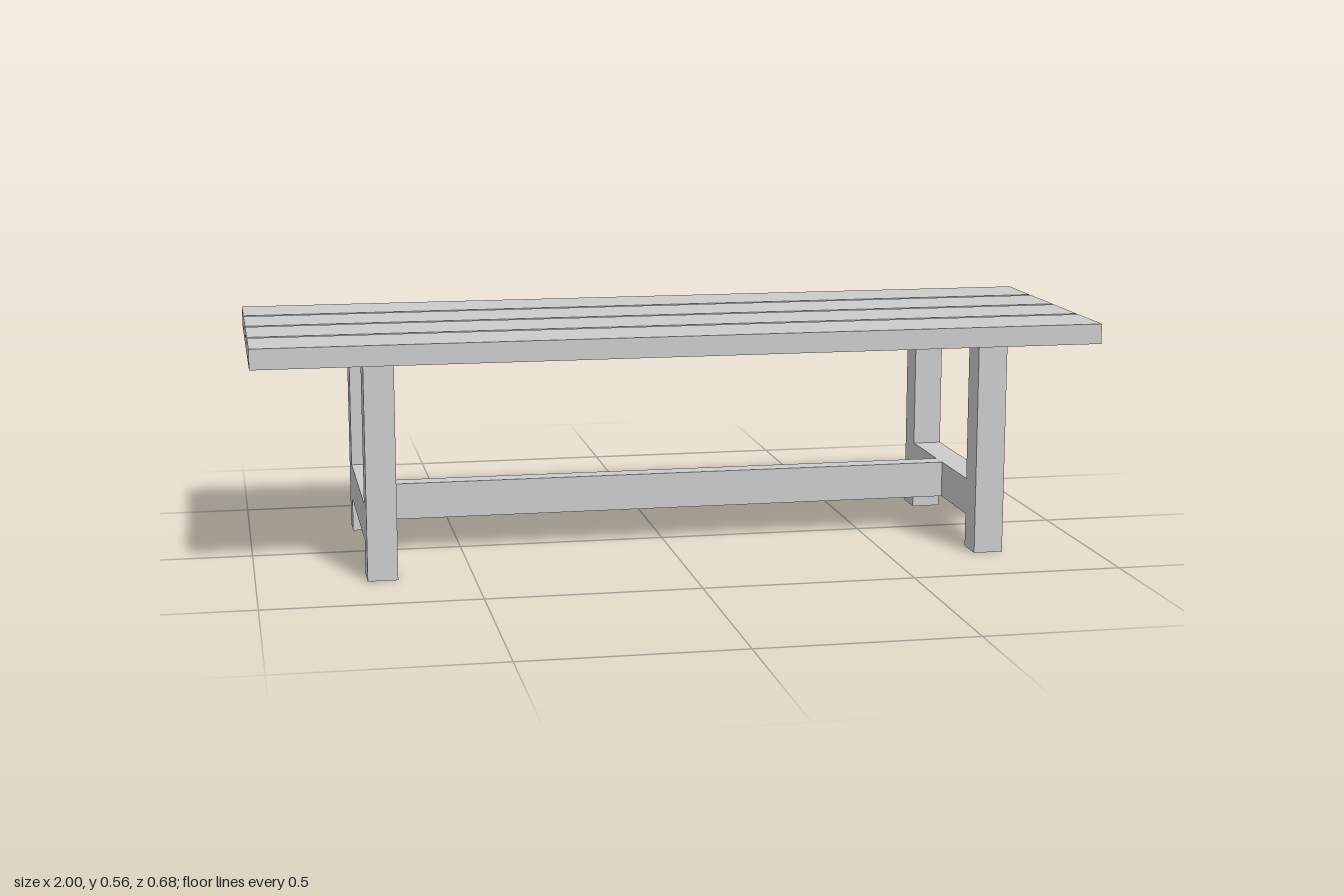
import * as THREE from 'three';

export function createModel() {
  const group = new THREE.Group();
  const material = new THREE.MeshStandardMaterial({ color: 0xcccccc, flatShading: true });

  // Box given by its centre and size
  const beam = (name, [x, y, z], [w, h, d]) => {
    const mesh = new THREE.Mesh(new THREE.BoxGeometry(w, h, d), material);
    mesh.position.set(x, y, z);
    mesh.name = name;
    group.add(mesh);
  };

  const topY = 0.556, slatThickness = 0.048, legHeight = topY - slatThickness;
  const legWidth = 0.07, legDepth = 0.074;
  const frameX = 0.0175, frameZ = 0.002; // the frame sits slightly off the centre of the top
  const legX = 0.728, legZ = 0.2575;
  const railY = 0.1245, railHeight = 0.087;

  // Four slats of the top
  for (let i = 0; i < 4; i++) {
    beam('slat', [0, topY - slatThickness / 2, (i - 1.5) * 0.172], [2, slatThickness, 0.159]);
  }

  // End frames: two legs joined by a cross rail
  for (const sx of [-1, 1]) {
    const x = frameX + sx * legX;
    for (const sz of [-1, 1]) {
      beam('leg', [x, legHeight / 2, frameZ + sz * legZ], [legWidth, legHeight, legDepth]);
    }
    beam('crossRail', [x, railY, frameZ], [legWidth, railHeight, 2 * legZ - legDepth]);
  }

  // Long stretcher between the cross rails
  beam('stretcher', [frameX, railY, frameZ], [2 * legX - legWidth, railHeight, 0.048]);

  return group;
}
